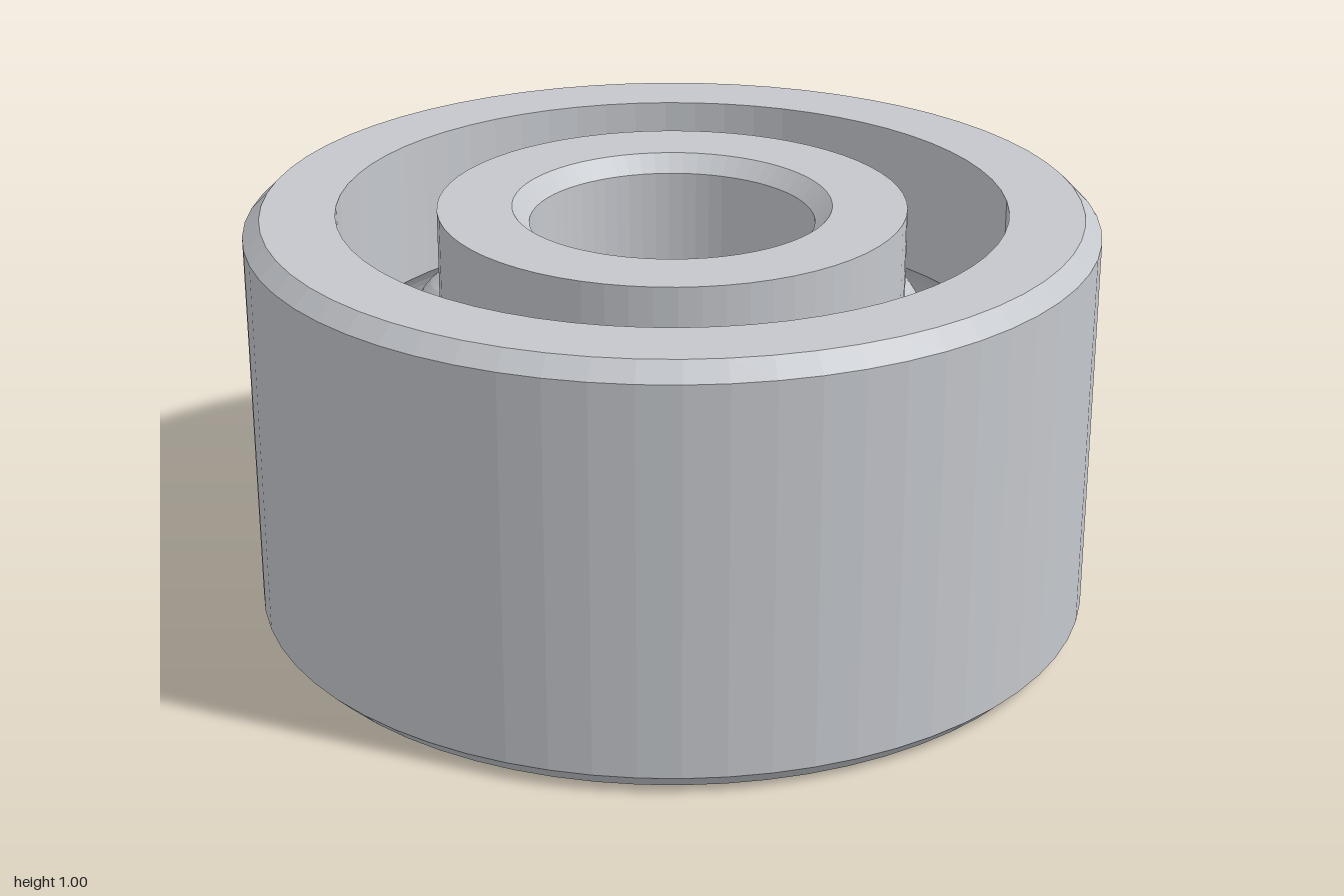
import * as THREE from 'three';

const SEGMENTS = 64;
const BALLS = 8;
const MID_Y = 0.5;
const PITCH = 0.667;      // radius of the circle of ball centres
const BALL_R = 0.185;
const GROOVE_R = 0.188;

// Points of the ball groove, as an arc from one angle to another
function groove(from, to, steps = 14) {
  return Array.from({ length: steps + 1 }, (_, i) => {
    const a = from + (to - from) * i / steps;
    return [PITCH + GROOVE_R * Math.cos(a), MID_Y + GROOVE_R * Math.sin(a)];
  });
}

// Separate facet normals for crisp machined edges
function faceted(geometry) {
  const g = geometry.toNonIndexed();
  g.computeVertexNormals();
  return g;
}

function ring(name, profile, material) {
  const points = [...profile, profile[0]].map(([r, y]) => new THREE.Vector2(r, y));
  const mesh = new THREE.Mesh(faceted(new THREE.LatheGeometry(points, SEGMENTS)), material);
  mesh.name = name;
  return mesh;
}

export function createModel() {
  const model = new THREE.Group();
  model.name = 'ballBearing';
  const steel = new THREE.MeshStandardMaterial({ color: 0xc4c7cc });
  steel.name = 'steel';

  // Outer ring: chamfered outside, grooved inside
  const outerBore = 0.785;
  const a = Math.acos((outerBore - PITCH) / GROOVE_R);
  model.add(ring('outerRing', [
    [0.96, 0], [1, 0.04], [1, 0.96], [0.96, 1],
    [outerBore, 1], ...groove(a, -a), [outerBore, 0],
  ], steel));

  // Inner ring: grooved outside, chamfered bore
  const innerEdge = 0.55;
  const b = Math.acos((PITCH - innerEdge) / GROOVE_R);
  model.add(ring('innerRing', [
    [innerEdge, 0], ...groove(Math.PI + b, Math.PI - b), [innerEdge, 1],
    [0.375, 1], [0.335, 0.96], [0.335, 0.04], [0.375, 0],
  ], steel));

  // Balls running between the two grooves
  const balls = new THREE.Group();
  balls.name = 'balls';
  const ballGeometry = faceted(new THREE.SphereGeometry(BALL_R, 32, 20));
  for (let i = 0; i < BALLS; i++) {
    const t = i / BALLS * Math.PI * 2;
    const ball = new THREE.Mesh(ballGeometry, steel);
    ball.name = 'ball';
    ball.position.set(PITCH * Math.cos(t), MID_Y, PITCH * Math.sin(t));
    balls.add(ball);
  }
  model.add(balls);
  return model;
}
